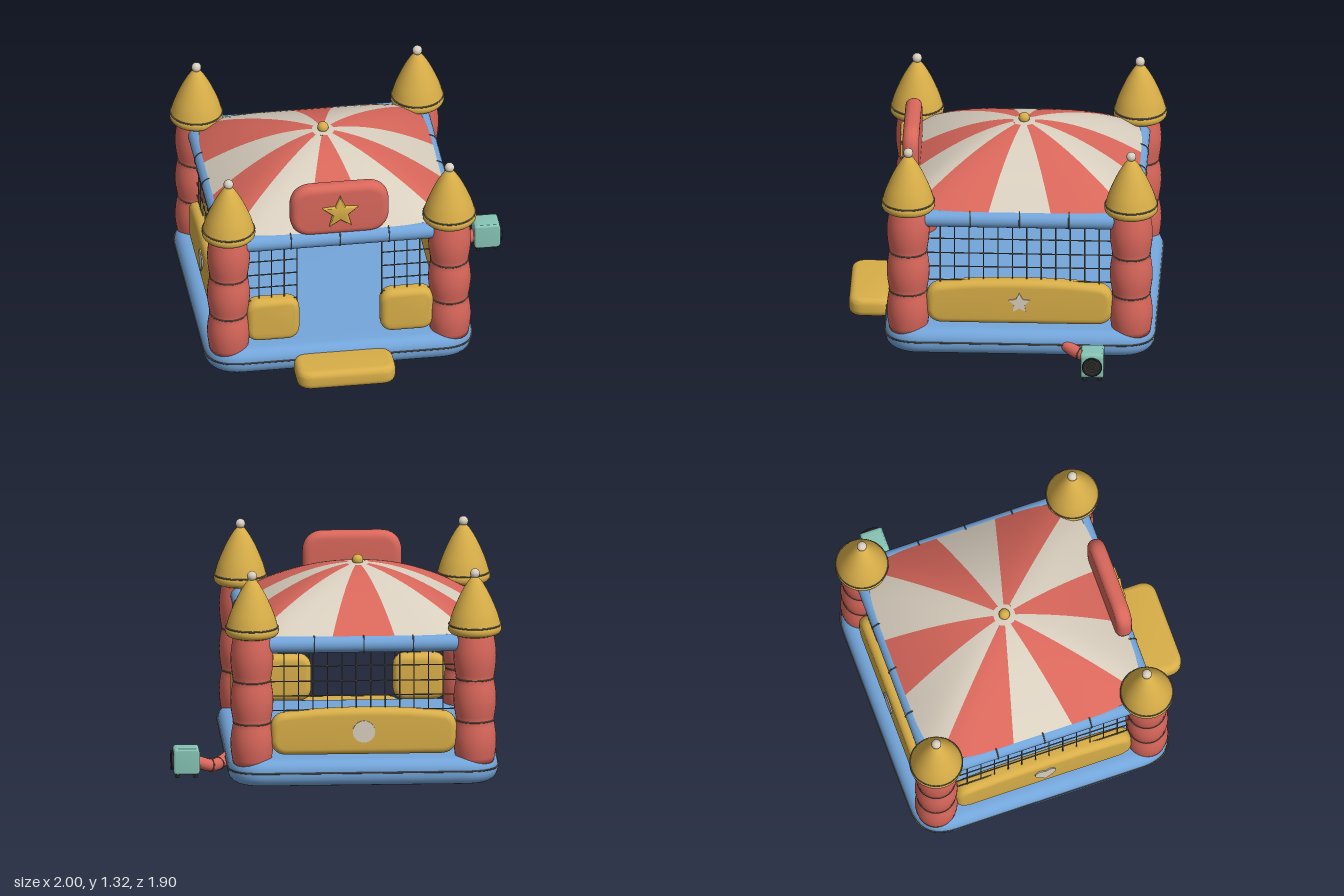
import * as THREE from 'three';
import { toCreasedNormals } from 'three/addons/utils/BufferGeometryUtils.js';

const CX = -0.16, CZ = -0.11, POST = 0.677, WALL = 0.69;

export function createModel() {
  const root = new THREE.Group();
  root.name = 'bouncyCastle';
  const castle = new THREE.Group();
  castle.name = 'castle';
  castle.position.set(CX, 0, CZ);
  root.add(castle);

  const mat = (name, color, side = THREE.FrontSide) => {
    const m = new THREE.MeshStandardMaterial({ color, side });
    m.name = name;
    return m;
  };
  const red = mat('coralRed', 0xd9675b, THREE.DoubleSide);
  const cream = mat('cream', 0xd9cfbf, THREE.DoubleSide);
  const gold = mat('gold', 0xd8ae48);
  const blue = mat('skyBlue', 0x74a6db);
  const teal = mat('teal', 0x86c4b5);
  const grey = mat('netGrey', 0x68645a);
  const dark = mat('charcoal', 0x27292b);

  const add = (parent, name, geo, material, x = 0, y = 0, z = 0) => {
    const m = new THREE.Mesh(geo, material);
    m.name = name;
    m.position.set(x, y, z);
    parent.add(m);
    return m;
  };

  // Rounded rectangle centred on the origin, with an optional arched top and bottom
  const roundedRect = (w, h, r, arch = 0) => {
    const s = new THREE.Shape(), a = w / 2, b = h / 2, e = b - arch;
    s.moveTo(-a + r, -b);
    s.lineTo(a - r, -b);
    s.quadraticCurveTo(a, -b, a, -b + r);
    s.lineTo(a, e - r);
    s.quadraticCurveTo(a, e, a - r, e);
    if (arch) s.bezierCurveTo(a * 0.5, b, -a * 0.5, b, -a + r, e);
    else s.lineTo(-a + r, e);
    s.quadraticCurveTo(-a, e, -a, e - r);
    s.lineTo(-a, -b + r);
    s.quadraticCurveTo(-a, -b, -a + r, -b);
    return s;
  };

  // Inflated cushion: width, height, depth along z
  const pillow = (w, h, d, r, bevel, arch = 0) => {
    const t = Math.min(bevel, d * 0.45);
    const g = new THREE.ExtrudeGeometry(roundedRect(w - 2 * bevel, h - 2 * bevel, r, arch), {
      depth: d - 2 * t, bevelThickness: t, bevelSize: bevel, bevelSegments: 6, curveSegments: 8,
    });
    g.translate(0, 0, -(d - 2 * t) / 2);
    return toCreasedNormals(g, 0.8);
  };

  const starShape = (r, inner) => {
    const pts = [];
    for (let i = 0; i < 10; i++) {
      const a = Math.PI / 2 + (i * Math.PI) / 5, q = i % 2 ? inner : r;
      pts.push(new THREE.Vector2(Math.cos(a) * q, Math.sin(a) * q));
    }
    return new THREE.Shape(pts);
  };
  const plate = (shape, depth, bevel = 0) => new THREE.ExtrudeGeometry(shape, {
    depth, bevelEnabled: bevel > 0, bevelSize: bevel, bevelThickness: bevel, bevelSegments: 3,
  });

  // Inflated base with a welt around the middle
  const baseGeo = pillow(1.64, 1.64, 0.165, 0.15, 0.07);
  baseGeo.rotateX(-Math.PI / 2);
  add(castle, 'base', baseGeo, blue, 0, 0.0875, 0);
  const weltPts = roundedRect(1.642, 1.642, 0.21).getSpacedPoints(120).slice(0, -1)
    .map((p) => new THREE.Vector3(p.x, 0, p.y));
  add(castle, 'baseWelt', new THREE.TubeGeometry(
    new THREE.CatmullRomCurve3(weltPts, true), 160, 0.005, 5, true), grey, 0, 0.095, 0);

  // Entrance step
  const stepGeo = pillow(0.605, 0.27, 0.12, 0.05, 0.04);
  stepGeo.rotateX(-Math.PI / 2);
  add(root, 'entranceStep', stepGeo, gold, CX, 0.07, 0.81);

  // Corner towers: three bulging sections, pointed roof and ball
  const joints = [0.13, 0.39, 0.65, 0.925];
  const towerPts = [new THREE.Vector2(0, joints[0])];
  for (let s = 0; s < 3; s++) {
    for (let i = s ? 1 : 0; i <= 8; i++) {
      const u = i / 8;
      towerPts.push(new THREE.Vector2(0.114 + 0.016 * Math.sin(Math.PI * u),
        joints[s] + (joints[s + 1] - joints[s]) * u));
    }
  }
  const towerGeo = new THREE.LatheGeometry(towerPts, 32);
  const roofCurve = new THREE.SplineCurve([
    [0.148, 0.93], [0.16, 0.945], [0.163, 0.965], [0.157, 0.985], [0.135, 1.06],
    [0.09, 1.165], [0.048, 1.24], [0.02, 1.275],
  ].map((p) => new THREE.Vector2(...p)));
  const roofGeo = new THREE.LatheGeometry(
    [new THREE.Vector2(0, 0.92), new THREE.Vector2(0.12, 0.92),
      ...roofCurve.getPoints(28), new THREE.Vector2(0, 1.28)], 36);
  const ring = (r, t = 0.005) => new THREE.TorusGeometry(r, t, 6, 36).rotateX(Math.PI / 2);
  for (const sx of [-1, 1]) for (const sz of [-1, 1]) {
    const tower = new THREE.Group();
    tower.name = 'cornerTower';
    tower.position.set(sx * POST, 0, sz * POST);
    castle.add(tower);
    add(tower, 'towerColumn', towerGeo, red);
    for (const y of [0.39, 0.65]) add(tower, 'columnSeam', ring(0.114), grey, 0, y, 0);
    add(tower, 'towerRoof', roofGeo, gold);
    add(tower, 'roofSeam', ring(0.158), grey, 0, 0.983, 0);
    add(tower, 'roofBall', new THREE.SphereGeometry(0.03, 20, 14), cream, 0, 1.297, 0);
  }

  // Emblems on the closed sides
  const heart = new THREE.Shape();
  heart.moveTo(0, -0.07);
  heart.bezierCurveTo(0.03, -0.04, 0.07, -0.01, 0.065, 0.03);
  heart.bezierCurveTo(0.06, 0.07, 0.015, 0.075, 0, 0.045);
  heart.bezierCurveTo(-0.015, 0.075, -0.06, 0.07, -0.065, 0.03);
  heart.bezierCurveTo(-0.07, -0.01, -0.03, -0.04, 0, -0.07);
  const disc = new THREE.Shape().absarc(0, 0, 0.068, 0, Math.PI * 2);
  const emblems = [null, starShape(0.068, 0.034), disc, heart];

  // Net of thin cords between two x positions
  const addNet = (side, x0, x1) => {
    const net = new THREE.Group();
    net.name = 'safetyNet';
    side.add(net);
    const n = Math.round((x1 - x0) / 0.085);
    for (let i = 0; i <= n; i++) {
      add(net, 'netCord', new THREE.CylinderGeometry(0.004, 0.004, 0.4, 5), grey,
        x0 + ((x1 - x0) * i) / n, 0.63, WALL);
    }
    for (const y of [0.46, 0.55, 0.64, 0.735]) {
      add(net, 'netCord', new THREE.CylinderGeometry(0.004, 0.004, x1 - x0, 5).rotateZ(Math.PI / 2),
        grey, (x0 + x1) / 2, y, WALL);
    }
  };

  // Four sides in the order front, left, back, right
  ['frontSide', 'leftSide', 'backSide', 'rightSide'].forEach((name, i) => {
    const side = new THREE.Group();
    side.name = name;
    side.rotation.y = (i * Math.PI) / 2;
    castle.add(side);
    add(side, 'topBeam', new THREE.CylinderGeometry(0.052, 0.052, 1.3, 20).rotateZ(Math.PI / 2),
      blue, 0, 0.87, WALL);
    for (const x of [-0.3, 0, 0.3]) {
      add(side, 'beamStrap', new THREE.TorusGeometry(0.053, 0.004, 6, 24).rotateY(Math.PI / 2),
        grey, x, 0.87, WALL);
    }
    if (i === 0) {
      for (const s of [-1, 1]) {
        add(side, 'entrancePanel', pillow(0.325, 0.285, 0.11, 0.04, 0.04), gold, s * 0.41, 0.333, WALL);
        addNet(side, s < 0 ? -0.57 : 0.26, s < 0 ? -0.26 : 0.57);
      }
    } else {
      add(side, 'wallCushion', pillow(1.13, 0.295, 0.11, 0.06, 0.04, 0.035), gold, 0, 0.335, WALL);
      add(side, 'wallEmblem', plate(emblems[i], 0.009), cream, 0, 0.335, WALL + 0.053);
      addNet(side, -0.57, 0.57);
    }
  });

  // Striped canopy over a rounded square plan
  const canopy = (a0, a1, t0, t1, segs) => {
    const pos = [], idx = [], rows = 14;
    for (let j = 0; j <= rows; j++) for (let i = 0; i <= segs; i++) {
      const t = t0 + ((t1 - t0) * j) / rows, a = a0 + ((a1 - a0) * i) / segs;
      const c = Math.cos(a), s = Math.sin(a);
      const n = 2 + 4.5 * Math.min(1, t * 1.3);
      const r = (0.73 * t) / Math.pow(Math.abs(c) ** n + Math.abs(s) ** n, 1 / n);
      pos.push(r * c, 0.9 + 0.315 * (1 - Math.pow(t, 1.7)), r * s);
      if (i < segs && j < rows) {
        const k = j * (segs + 1) + i, m = k + segs + 1;
        idx.push(k, k + 1, m, k + 1, m + 1, m);
      }
    }
    const g = new THREE.BufferGeometry();
    g.setAttribute('position', new THREE.Float32BufferAttribute(pos, 3));
    g.setIndex(idx);
    g.computeVertexNormals();
    return g;
  };
  for (let k = 0; k < 12; k++) {
    const a = ((k - 0.5) * Math.PI) / 6;
    add(castle, 'canopyStripe', canopy(a, a + Math.PI / 6, 0.09, 1, 8), k % 2 ? red : cream);
  }
  add(castle, 'canopyCentre', canopy(0, Math.PI * 2, 0.001, 0.09, 48), cream);
  add(castle, 'canopyBall', new THREE.SphereGeometry(0.034, 20, 14), gold, 0, 1.228, 0);

  // Sign over the entrance with a rounded star
  add(root, 'entranceSign', pillow(0.605, 0.345, 0.1, 0.09, 0.045), red, CX, 1.076, 0.568);
  add(root, 'signStar', toCreasedNormals(plate(starShape(0.098, 0.036), 0.012, 0.012), 0.7),
    gold, CX, 1.072, 0.615);

  // Blower with hose, feet and round fan grille
  const blower = new THREE.Group();
  blower.name = 'blower';
  blower.position.set(0.905, 0.104, -0.567);
  root.add(blower);
  add(blower, 'blowerBody', pillow(0.16, 0.16, 0.14, 0.012, 0.012), teal);
  for (const x of [-0.055, 0.055]) for (const z of [-0.045, 0.045]) {
    add(blower, 'blowerFoot', new THREE.CylinderGeometry(0.012, 0.012, 0.025, 10), dark, x, -0.088, z);
  }
  add(blower, 'fanDisc', new THREE.CylinderGeometry(0.06, 0.06, 0.012, 28).rotateZ(Math.PI / 2),
    dark, 0.083, 0, 0);
  for (const r of [0.02, 0.04, 0.058]) {
    add(blower, 'fanGrille', new THREE.TorusGeometry(r, 0.003, 5, 28).rotateY(Math.PI / 2),
      r > 0.05 ? dark : grey, 0.091, 0, 0);
  }
  const hosePath = new THREE.CatmullRomCurve3([
    [0.62, 0.09, -0.38], [0.68, 0.065, -0.45], [0.75, 0.06, -0.54], [0.84, 0.09, -0.567],
  ].map((p) => new THREE.Vector3(...p)));
  add(root, 'airHose', new THREE.TubeGeometry(hosePath, 24, 0.038, 16), red);
  for (const u of [0.45, 0.7]) {
    const band = add(root, 'hoseBand', new THREE.TorusGeometry(0.038, 0.004, 6, 24), grey);
    band.position.copy(hosePath.getPointAt(u));
    band.lookAt(band.position.clone().add(hosePath.getTangentAt(u)));
  }

  return root;
}
